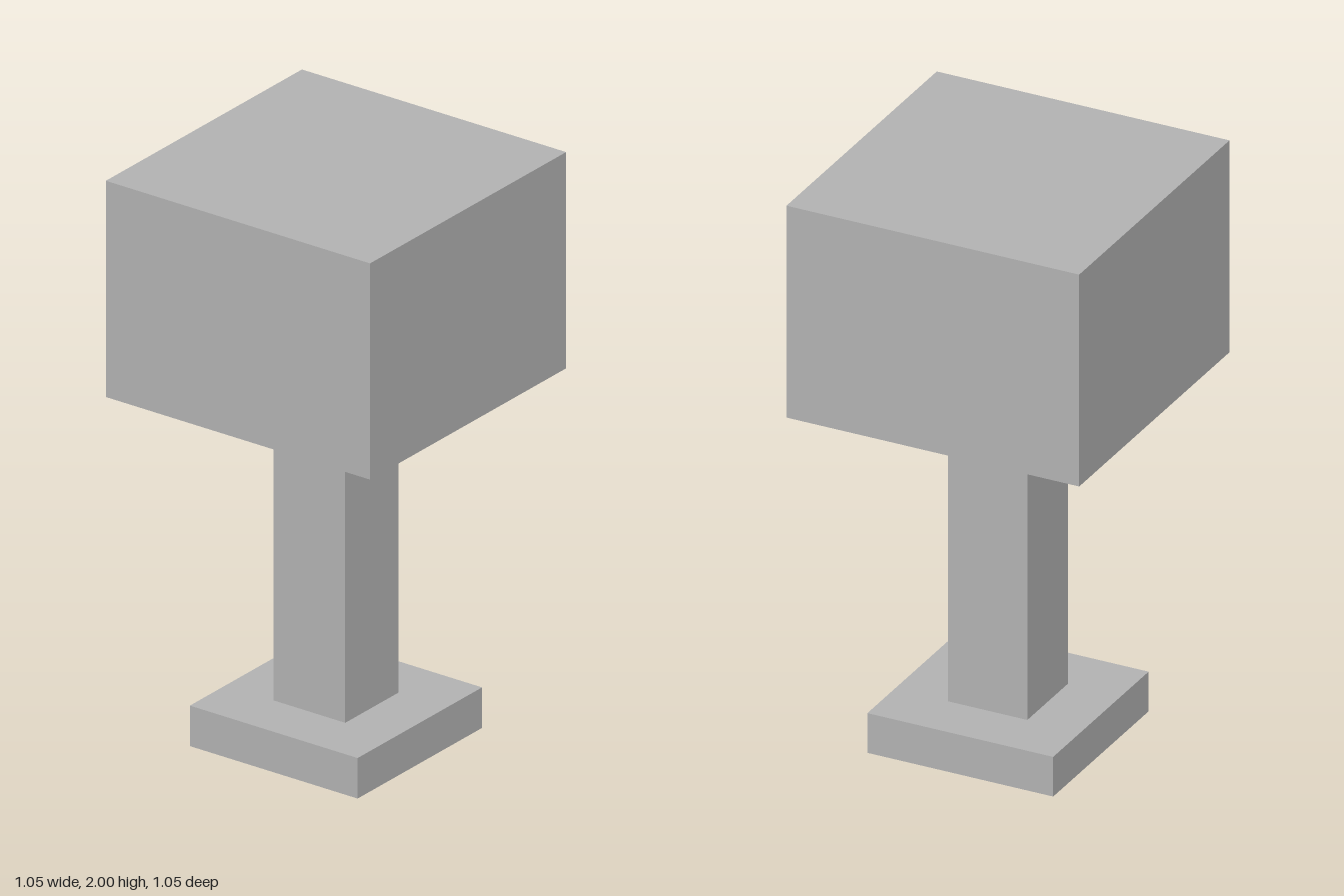
import * as THREE from 'three';

export function createModel() {
  const model = new THREE.Group();
  model.name = 'pedestalLamp';

  const grey = new THREE.MeshStandardMaterial({ color: 0xb2b2b2 });
  grey.name = 'light grey';

  // Square block spanning bottom..top
  const addBlock = (name, width, bottom, top) => {
    const mesh = new THREE.Mesh(new THREE.BoxGeometry(width, top - bottom, width), grey);
    mesh.name = name;
    mesh.position.y = (bottom + top) / 2;
    model.add(mesh);
  };

  addBlock('base', 0.664, 0, 0.142);
  addBlock('post', 0.284, 0.142, 1.242);
  addBlock('head', 1.046, 1.242, 2);

  return model;
}
